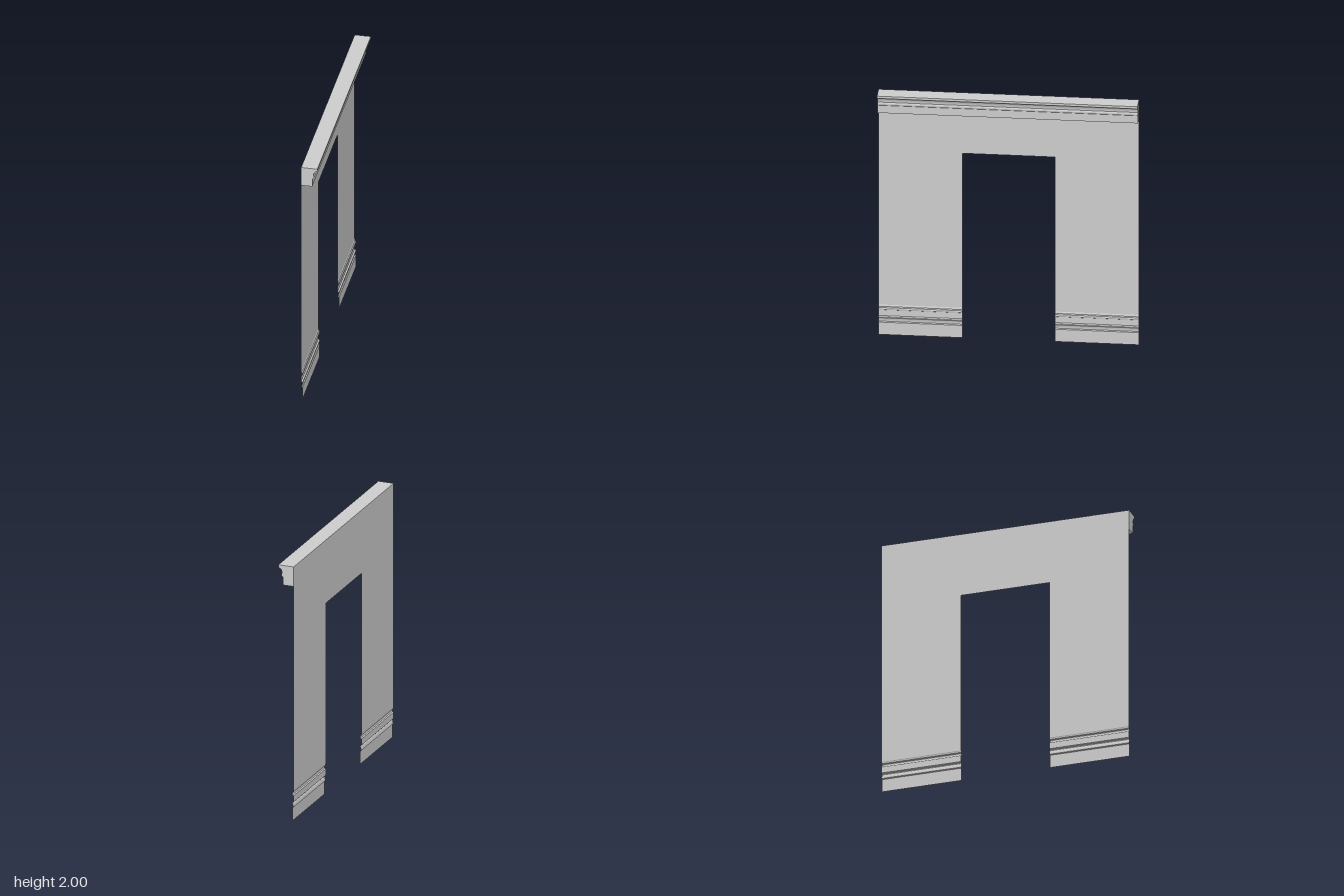
import * as THREE from 'three';

const HALF = 0.966;      // half length of the wall along z
const DOOR = 0.344;      // half width of the doorway
const DOOR_TOP = 1.503;
const BACK = -0.062;     // plane of the thin wall sheet
const BASE_TOP = 0.24;

// Open moulding strip: a profile of [x, y] points, bottom to top, swept from z0 to z1
function sweepSheet(profile, z0, z1) {
  const pos = [];
  for (let i = 0; i < profile.length - 1; i++) {
    const [ax, ay] = profile[i];
    const [bx, by] = profile[i + 1];
    pos.push(ax, ay, z1, ax, ay, z0, bx, by, z0);
    pos.push(ax, ay, z1, bx, by, z0, bx, by, z1);
  }
  const geo = new THREE.BufferGeometry();
  geo.setAttribute('position', new THREE.Float32BufferAttribute(pos, 3));
  geo.computeVertexNormals();
  return geo;
}

export function createModel() {
  const group = new THREE.Group();
  const plaster = new THREE.MeshStandardMaterial({ color: 0xcccccc, side: THREE.DoubleSide });
  plaster.name = 'light grey plaster';

  const add = (name, geo) => {
    const mesh = new THREE.Mesh(geo, plaster);
    mesh.name = name;
    group.add(mesh);
    return mesh;
  };

  // Thin wall sheet with the doorway cut out, standing on the skirting
  const outline = [
    [-HALF, BASE_TOP], [-DOOR, BASE_TOP], [-DOOR, DOOR_TOP], [DOOR, DOOR_TOP],
    [DOOR, BASE_TOP], [HALF, BASE_TOP], [HALF, 1.846], [-HALF, 1.846],
  ].map(([z, y]) => new THREE.Vector2(z, y));
  const wall = add('wall', new THREE.ShapeGeometry(new THREE.Shape(outline)).rotateY(Math.PI / 2));
  wall.position.x = BACK;

  // Skirting on both sides of the doorway: plinth, cove, bead, flat band, top bead
  const skirting = [
    [0.010, 0], [0.010, 0.100], [0.003, 0.106], [0.004, 0.118], [0.007, 0.130],
    [0.012, 0.138], [0.011, 0.144], [0.000, 0.150], [0.000, 0.198], [0.009, 0.203],
    [0.012, 0.211], [0.010, 0.220], [0.003, 0.226], [0.003, 0.234], [0, BASE_TOP],
  ].map(([x, y]) => [BACK + x, y]);
  add('skirtingLeft', sweepSheet(skirting, DOOR, HALF));
  add('skirtingRight', sweepSheet(skirting, -HALF, -DOOR));

  // Solid cornice: lower fascia, small bead, cove and top lip
  const s = new THREE.Shape();
  s.moveTo(BACK, 1.846);
  s.lineTo(0.022, 1.846);
  s.lineTo(0.022, 1.910);
  s.lineTo(0.030, 1.912);
  s.quadraticCurveTo(0.041, 1.925, 0.030, 1.938);
  s.lineTo(0.030, 1.945);
  s.quadraticCurveTo(0.034, 1.972, 0.052, 1.977);
  s.lineTo(0.060, 1.982);
  s.lineTo(0.060, 2.0);
  s.lineTo(BACK, 2.0);
  s.closePath();
  const cornice = new THREE.ExtrudeGeometry(s, { depth: 2 * HALF, bevelEnabled: false, curveSegments: 6 });
  add('cornice', cornice.translate(0, 0, -HALF));

  return group;
}
